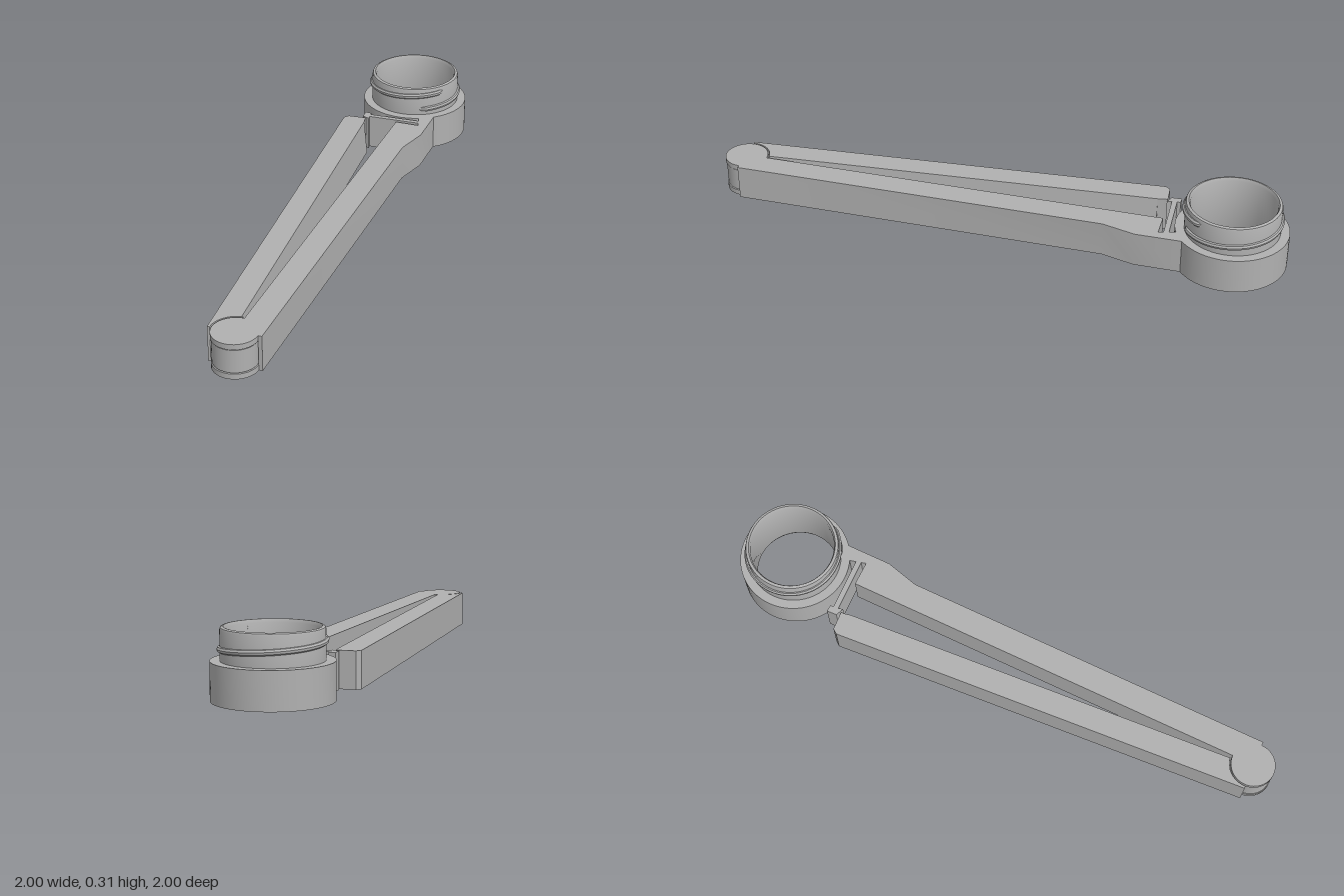
import * as THREE from 'three';
import { toCreasedNormals } from 'three/addons/utils/BufferGeometryUtils.js';

const H = 0.165;                       // height of the clip body
const HINGE = [-0.9, 0.895];           // hinge axis (x, z)
const RING = [0.742, -0.745];          // spout axis (x, z)

export function createModel() {
  const model = new THREE.Group();
  model.name = 'bagClip';
  const grey = new THREE.MeshStandardMaterial({ color: 0xb0b0b0 });
  grey.name = 'plain grey';

  const add = (name, geometry, parent = model) => {
    const mesh = new THREE.Mesh(toCreasedNormals(geometry, 0.6), grey);
    mesh.name = name;
    parent.add(mesh);
    return mesh;
  };

  // Upright slab from an outline of [x, z] points
  const slab = (name, points, y0 = 0, y1 = H) => {
    const shape = new THREE.Shape(points.map(([x, z]) => new THREE.Vector2(x, -z)));
    const g = new THREE.ExtrudeGeometry(shape, { depth: y1 - y0, bevelEnabled: false });
    g.rotateX(-Math.PI / 2).translate(0, y0, 0);
    return add(name, g);
  };

  // Arm frame at the hinge: u along the arm, v across it
  const frame = (dx, dz) => ([u, v]) => [HINGE[0] + u * dx - v * dz, HINGE[1] + u * dz + v * dx];
  const arc = (r, sign) => Array.from({ length: 13 }, (_, i) => {
    const a = (i / 12) * Math.PI / 2;
    return [r * Math.sin(a), sign * r * Math.cos(a)];
  });

  // Swinging arm with a hollow end around the hinge
  const dx = 0.657, dz = -0.754;
  const upper = frame(dx, dz);
  slab('swingingArm', [
    [0, -0.118], ...arc(0.107, -1), [0.108, -0.008], [1.96, -0.008], [1.985, -0.012],
    [2.006, -0.012], [2.006, -0.1], [1.985, -0.118],
  ].map(upper));
  slab('hingeKnuckle', [[0, -0.094], [0.2, -0.094], [0.2, -0.01], [0, -0.01]].map(upper), 0.029, 0.136);

  // Sloping gripping edge along the inside of the swinging arm
  const wedge = new THREE.Shape([[0.008, 0], [0.008, H], [-0.008, 0]].map(p => new THREE.Vector2(...p)));
  const grip = add('grippingEdge', new THREE.ExtrudeGeometry(wedge, { depth: 1.85, bevelEnabled: false }));
  const [gx, gz] = upper([0.11, 0]);
  grip.position.set(gx, 0, gz);
  grip.rotation.y = Math.atan2(dx, dz);

  // Fixed arm, widening into the spout ring
  const lower = frame(Math.SQRT1_2, -Math.SQRT1_2);
  slab('fixedArm', [
    ...[...arc(0.1, 1).reverse(), [0, 0.117], [0.03, 0.117]].map(lower),
    [0.428, -0.259], [0.567, -0.34], [0.717, -0.49], [0.7, -0.53], [0.65, -0.52],
    [0.625, -0.478], [0.604, -0.441], [0.524, -0.521],
  ]);

  // Springy catch with a hooked head
  slab('catchStrip', [[0.622, -0.456], [0.638, -0.474], [0.443, -0.654], [0.427, -0.636]]);
  slab('catchHead', [[0.405, -0.65], [0.437, -0.685], [0.458, -0.662], [0.446, -0.648], [0.434, -0.634], [0.42, -0.612]]);

  // Hinge barrel between two caps
  const disc = (name, r, y0, y1) => {
    const g = new THREE.CylinderGeometry(r, r, y1 - y0, 48);
    g.translate(HINGE[0], (y0 + y1) / 2, HINGE[1]);
    add(name, g);
  };
  disc('hingeCapBottom', 0.1, 0, 0.025);
  disc('hingePin', 0.09, 0.02, 0.145);
  disc('hingeBarrel', 0.097, 0.029, 0.136);
  disc('hingeCapTop', 0.1, 0.14, H);

  // Spout: wide ring below, threaded neck above
  const spout = new THREE.Group();
  spout.name = 'spout';
  spout.position.set(RING[0], 0, RING[1]);
  model.add(spout);
  const profile = [
    [0.2, 0], [0.256, 0], [0.256, H], [0.215, H], [0.215, 0.293], [0.212, 0.301],
    [0.205, 0.305], [0.2, 0.305], [0.193, 0.29], [0.193, 0.02], [0.2, 0],
  ].map(p => new THREE.Vector2(...p));
  add('spoutNeck', new THREE.LatheGeometry(profile, 72), spout);

  // Screw thread, sinking into the neck at both ends
  const path = [];
  const t0 = -0.35, t1 = Math.PI * 2 + 0.2, n = 60;
  for (let i = 0; i <= n; i++) {
    const t = t0 + (t1 - t0) * i / n;
    const r = i === 0 || i === n ? 0.203 : 0.214;
    path.push(new THREE.Vector3(r * Math.sin(t), 0.193 + 0.081 * i / n, r * Math.cos(t)));
  }
  add('screwThread', new THREE.TubeGeometry(new THREE.CatmullRomCurve3(path), 140, 0.0135, 8), spout);

  return model;
}
